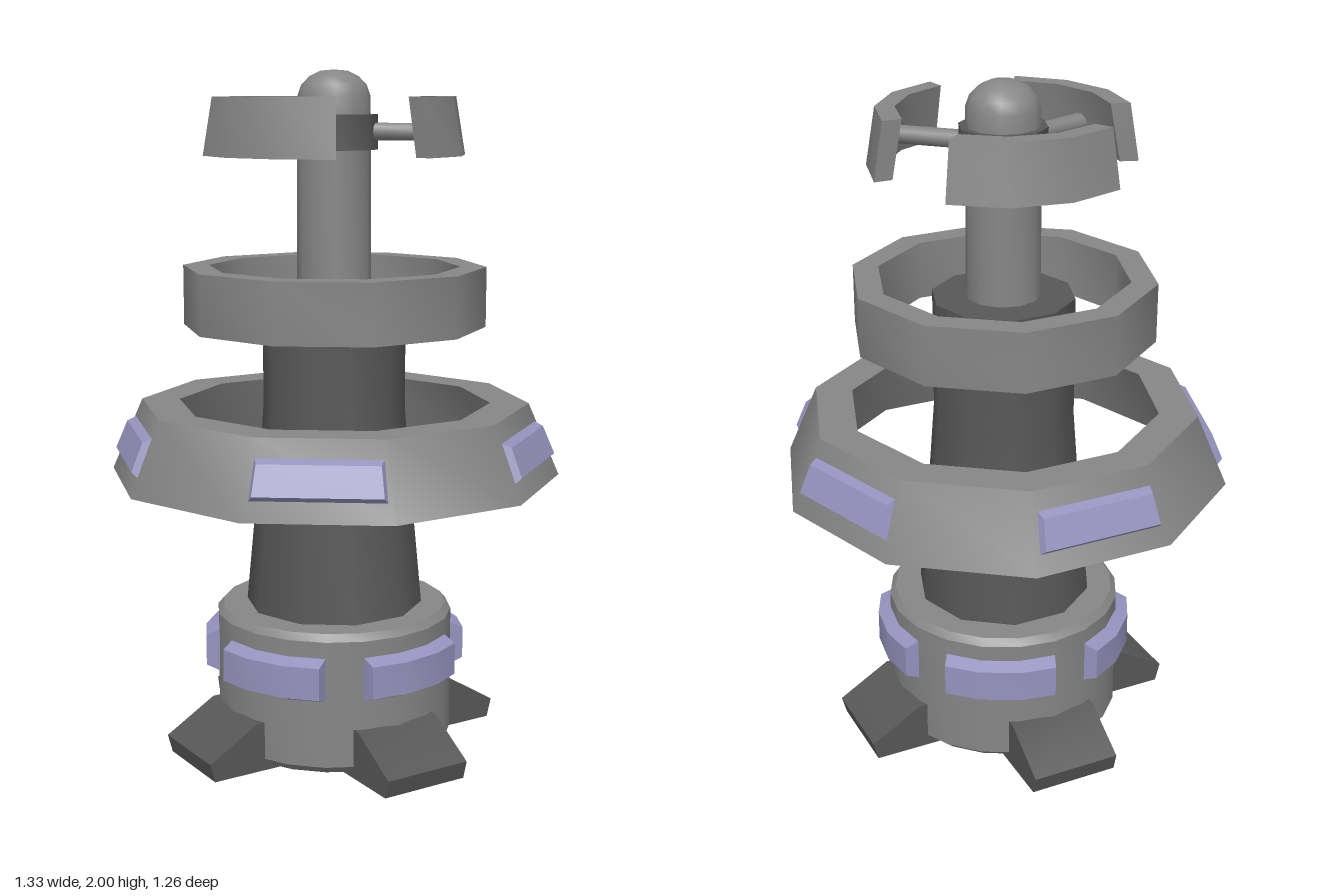
import * as THREE from 'three';
import { toCreasedNormals } from 'three/addons/utils/BufferGeometryUtils.js';

const rad = THREE.MathUtils.degToRad;
const midGrey = new THREE.MeshStandardMaterial({ color: 0x868686 });
const darkGrey = new THREE.MeshStandardMaterial({ color: 0x575757 });
const violet = new THREE.MeshStandardMaterial({ color: 0x9593be });

// Lathe with a corner on the x axis; profile runs from the bottom up
function lathe(profile, sides) {
  const points = profile.map(([r, y]) => new THREE.Vector2(r, y));
  return new THREE.LatheGeometry(points, sides, Math.PI / 2);
}

// Four-cornered section [r, y] swept from -half to +half degrees about the x axis.
// endScale pulls in the two outer corners at the ends to bevel them.
function arcBlock(section, half, segments, endScale = 1) {
  const pos = [];
  const point = (s, j) => {
    const [r, y] = section[j % 4];
    const outer = j % 4 === 1 || j % 4 === 2;
    const atEnd = s === 0 || s === segments;
    const a = rad(half * (2 * s / segments - 1)) * (outer && atEnd ? endScale : 1);
    return [r * Math.cos(a), y, r * Math.sin(a)];
  };
  const quad = (a, b, c, d) => pos.push(...a, ...b, ...c, ...a, ...c, ...d);
  for (let s = 0; s < segments; s++) {
    for (let j = 0; j < 4; j++) {
      quad(point(s, j), point(s, j + 1), point(s + 1, j + 1), point(s + 1, j));
    }
  }
  quad(point(0, 0), point(0, 3), point(0, 2), point(0, 1));
  const e = segments;
  quad(point(e, 0), point(e, 1), point(e, 2), point(e, 3));
  const geometry = new THREE.BufferGeometry();
  geometry.setAttribute('position', new THREE.Float32BufferAttribute(pos, 3));
  return geometry;
}

export function createModel() {
  const model = new THREE.Group();
  model.name = 'tower';

  // Round sides are smooth, rims and corners stay sharp
  const add = (name, geometry, material) => {
    const mesh = new THREE.Mesh(toCreasedNormals(geometry, rad(40)), material);
    mesh.name = name;
    model.add(mesh);
    return mesh;
  };
  // Copies around the vertical axis; angles run from +x towards +z
  const addAround = (name, geometry, material, count, start) => {
    for (let i = 0; i < count; i++) {
      add(name, geometry, material).rotation.y = -rad(start + i * 360 / count);
    }
  };

  // Round base with chamfered rims
  add('base', lathe([[0, 0.01], [0.325, 0.01], [0.352, 0.035], [0.352, 0.41], [0.335, 0.43], [0, 0.43]], 20), midGrey);

  // Four sloping feet
  const footShape = new THREE.Shape([[0.25, 0], [0.485, 0], [0.5, 0.055], [0.345, 0.147], [0.25, 0.147]]
    .map(([x, y]) => new THREE.Vector2(x, y)));
  const foot = new THREE.ExtrudeGeometry(footShape, { depth: 0.27, bevelEnabled: false }).translate(0, 0, -0.135);
  addAround('foot', foot, darkGrey, 4, 0);

  // Curved bevelled panels around the base
  const basePanel = arcBlock([[0.345, 0.23], [0.39, 0.25], [0.39, 0.345], [0.345, 0.365]], 27.5, 3, 0.9);
  addAround('basePanel', basePanel, violet, 5, 9);

  // Tapered column and slim mast
  add('column', lathe([[0.264, 0.42], [0.225, 0.83], [0.21, 1.02], [0.209, 1.38], [0, 1.38]], 10), darkGrey);
  add('mast', lathe([[0.108, 1.37], [0.106, 1.8]], 12), midGrey);

  // Large sloping ring and its panels
  add('largeRing', lathe([[0.665, 0.828], [0.573, 1.04], [0.46, 1.04], [0.547, 0.828], [0.665, 0.828]], 10), midGrey);
  const ringPanel = arcBlock([[0.635, 0.88], [0.65, 0.897], [0.615, 0.978], [0.589, 0.99]], 17, 1, 0.92);
  addAround('ringPanel', ringPanel, violet, 5, -18);

  // Small upright ring
  add('smallRing', lathe([[0.443, 1.265], [0.443, 1.44], [0.367, 1.44], [0.367, 1.265], [0.443, 1.265]], 10), midGrey);

  // Collar and domed cap
  add('collar', lathe([[0.09, 1.775], [0.126, 1.775], [0.126, 1.875], [0.09, 1.875]], 10), darkGrey);
  add('cap', lathe([[0.105, 1.86], [0.105, 1.925], [0.094, 1.957], [0.07, 1.982], [0.038, 1.997], [0, 2]], 12), midGrey);

  // Three arms carrying curved shields
  const arm = new THREE.CylinderGeometry(0.026, 0.026, 0.23, 10).rotateZ(Math.PI / 2).translate(0.2, 1.826, 0);
  addAround('arm', arm, midGrey, 3, 41.5);
  const shield = arcBlock([[0.328, 1.76], [0.381, 1.76], [0.353, 1.925], [0.297, 1.925]], 38.8, 3);
  addAround('shield', shield, midGrey, 3, 40);

  return model;
}
